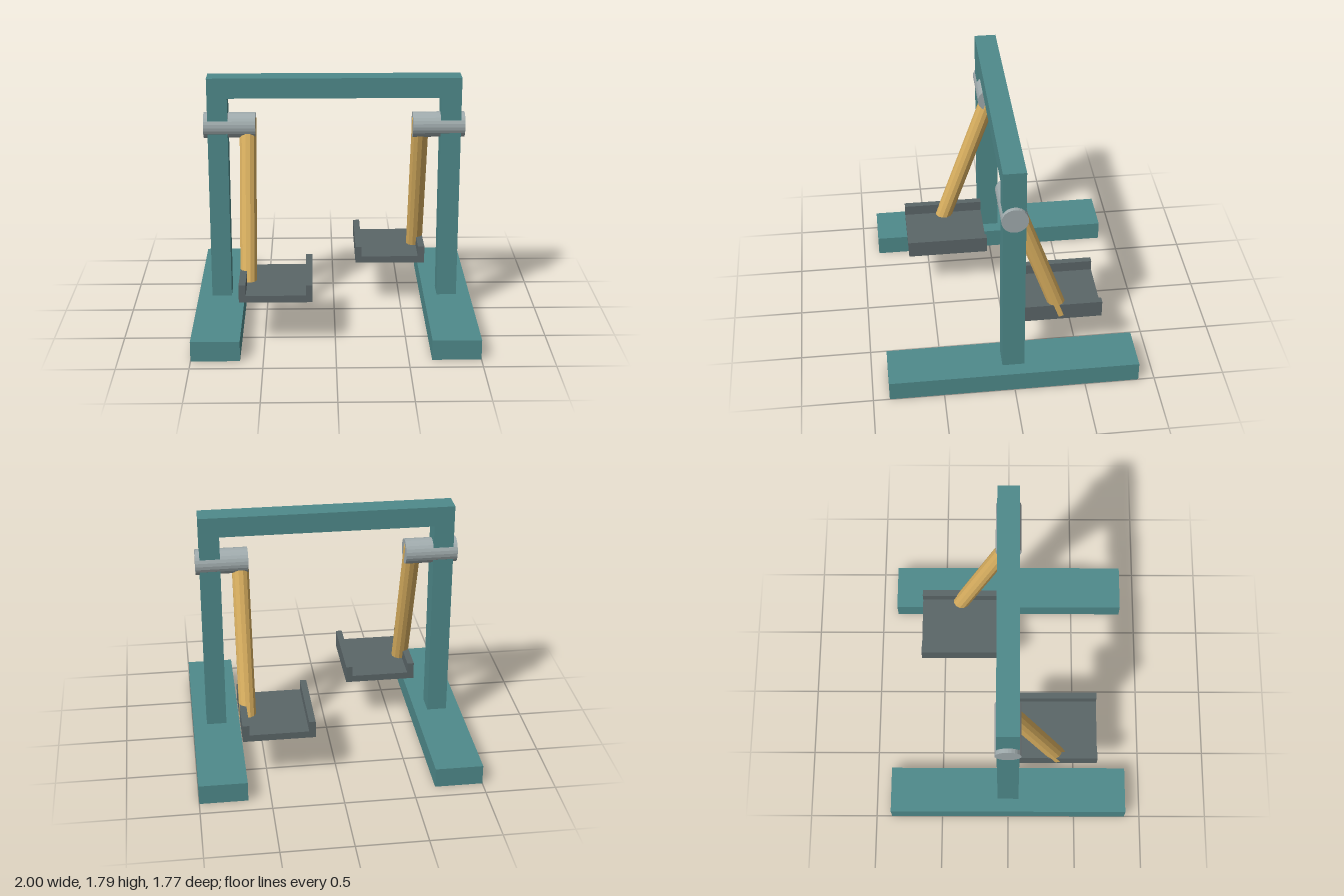
import * as THREE from 'three';

export function createModel() {
  const material = (name, color, flatShading = false) => {
    const m = new THREE.MeshStandardMaterial({ color, flatShading });
    m.name = name;
    return m;
  };
  const teal = material('teal paint', 0x4f8a8b);
  const grey = material('grey metal', 0xa0abad, true);
  const gold = material('golden arm', 0xdab060, true);
  const dark = material('dark pedal', 0x5b6668);

  const model = new THREE.Group();
  model.name = 'swingTrainer';

  const add = (parent, name, geometry, mat) => {
    const mesh = new THREE.Mesh(geometry, mat);
    mesh.name = name;
    parent.add(mesh);
    return mesh;
  };

  // Upright frame: two posts joined by a top beam, one arch outline
  const arch = new THREE.Shape([
    [-0.9, 0.14], [-0.757, 0.14], [-0.757, 1.645], [0.757, 1.645],
    [0.757, 0.14], [0.9, 0.14], [0.9, 1.79], [-0.9, 1.79],
  ].map(([x, y]) => new THREE.Vector2(x, y)));
  const depth = 0.156;
  const archGeometry = new THREE.ExtrudeGeometry(arch, { depth, bevelEnabled: false });
  archGeometry.translate(0, 0, -depth / 2);
  add(model, 'frame', archGeometry, teal);

  // Foot, hub, swinging arm and pedal for one side
  function createSide(name) {
    const side = new THREE.Group();
    side.name = name;

    add(side, 'foot', new THREE.BoxGeometry(0.34, 0.145, 1.77), teal)
      .position.set(-0.83, 0.0725, 0);

    // Hub passes crosswise through the post
    const hub = add(side, 'hub', new THREE.CylinderGeometry(0.091, 0.091, 0.37, 24), grey);
    hub.rotation.z = Math.PI / 2;
    hub.position.set(-0.745, 1.432, 0);

    // Arm slopes outward from the hub to the pedal
    const top = new THREE.Vector3(-0.615, 1.48, -0.016);
    const bottom = new THREE.Vector3(-0.615, 0.365, 0.37);
    const arm = add(side, 'arm',
      new THREE.CylinderGeometry(0.061, 0.061, top.distanceTo(bottom), 12, 1, false, Math.PI / 12), gold);
    arm.position.copy(top).add(bottom).multiplyScalar(0.5);
    arm.rotation.x = Math.atan2(top.z - bottom.z, top.y - bottom.y);

    // Channel-shaped pedal with a raised rim along each long edge
    const channel = new THREE.Shape([
      [-0.672, 0.34], [-0.16, 0.34], [-0.16, 0.467], [-0.206, 0.467],
      [-0.206, 0.39], [-0.624, 0.39], [-0.624, 0.467], [-0.672, 0.467],
    ].map(([x, y]) => new THREE.Vector2(x, y)));
    add(side, 'pedal',
      new THREE.ExtrudeGeometry(channel, { depth: 0.59, bevelEnabled: false }), dark)
      .position.z = 0.073;
    return side;
  }

  // The second side is the first turned half way round
  model.add(createSide('rightSide'));
  const leftSide = createSide('leftSide');
  leftSide.rotation.y = Math.PI;
  model.add(leftSide);

  return model;
}
